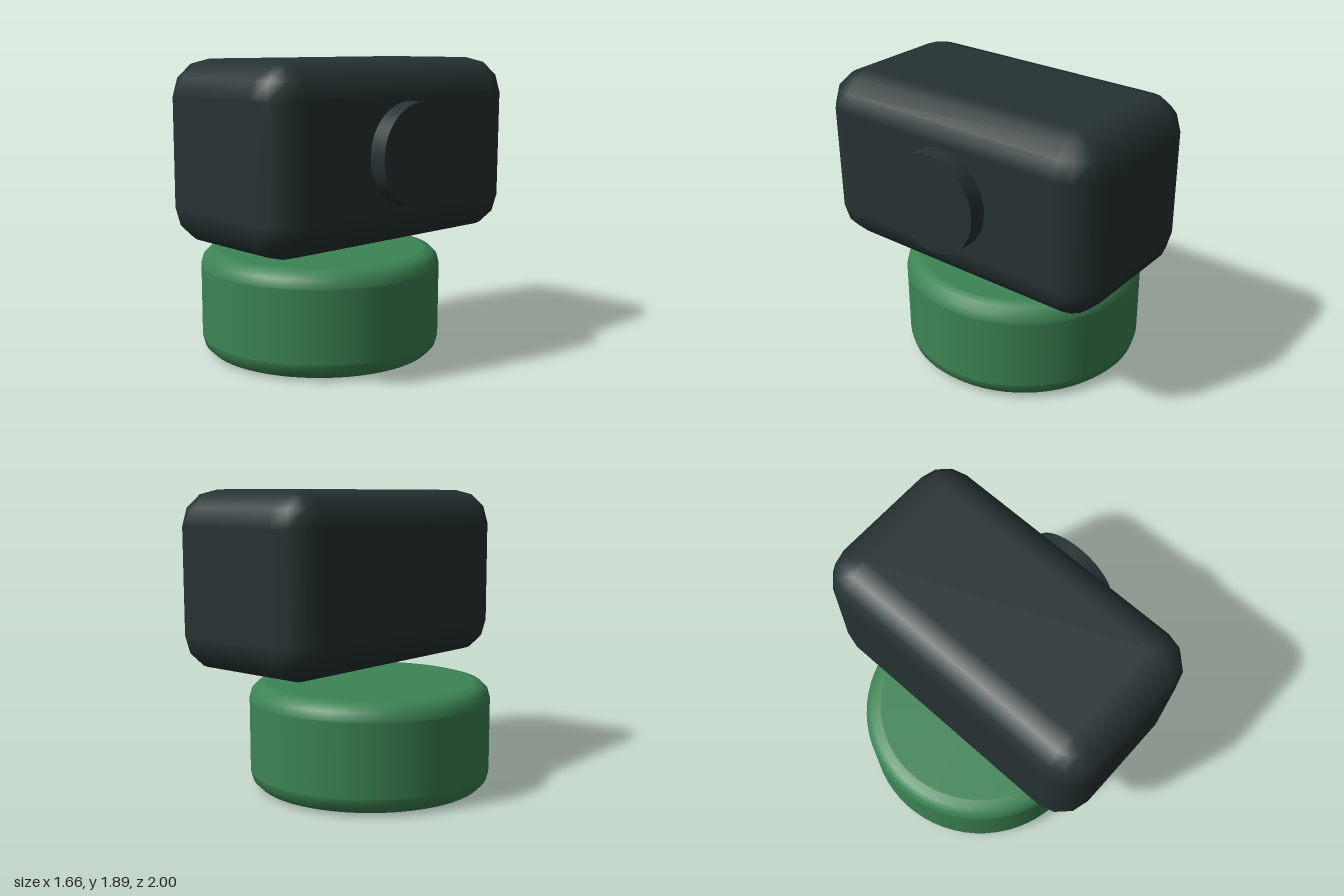
import * as THREE from 'three';

const dark = new THREE.MeshStandardMaterial({ color: 0x263232 });
dark.name = 'dark slate';
const green = new THREE.MeshStandardMaterial({ color: 0x3c8454 });
green.name = 'green';

// Box with rounded edges: stacked rounded-rectangle rings, n facets per quarter arc
function bevelledBox(w, h, d, r, n) {
  const pos = [], nor = [], idx = [];
  const ring = 4 * (n + 1), rows = 2 * (n + 1);
  for (let j = 0; j < rows; j++) {
    const sy = j <= n ? -1 : 1;
    const phi = (j <= n ? j - n : j - n - 1) / n * Math.PI / 2;
    for (let q = 0; q < 4; q++) {
      const sx = q === 0 || q === 3 ? 1 : -1, sz = q < 2 ? 1 : -1;
      for (let k = 0; k <= n; k++) {
        const t = (q + k / n) * Math.PI / 2;
        const v = [Math.cos(phi) * Math.cos(t), Math.sin(phi), Math.cos(phi) * Math.sin(t)];
        nor.push(...v);
        pos.push(sx * (w / 2 - r) + v[0] * r, sy * (h / 2 - r) + v[1] * r, sz * (d / 2 - r) + v[2] * r);
      }
    }
  }
  for (let j = 0; j < rows - 1; j++) {
    for (let i = 0; i < ring; i++) {
      const a = j * ring + i, b = j * ring + (i + 1) % ring;
      idx.push(a, a + ring, b, b, a + ring, b + ring);
    }
  }
  // bottom and top faces
  const s = n + 1, top = (rows - 1) * ring;
  idx.push(0, s, 2 * s, 0, 2 * s, 3 * s);
  idx.push(top, top + 2 * s, top + s, top, top + 3 * s, top + 2 * s);
  const g = new THREE.BufferGeometry();
  g.setAttribute('position', new THREE.Float32BufferAttribute(pos, 3));
  g.setAttribute('normal', new THREE.Float32BufferAttribute(nor, 3));
  g.setIndex(idx);
  return g;
}

// Solid disc with rounded rims; extra points keep the flats flat
function bevelledDisc(radius, height, r, n) {
  const pts = [new THREE.Vector2(0, 0), new THREE.Vector2(radius - r - 0.01, 0)];
  for (const end of [0, 1]) {
    if (end) pts.push(new THREE.Vector2(radius, height - r - 0.01));
    for (let k = 0; k <= n; k++) {
      const a = (end + k / n - 1) * Math.PI / 2;
      pts.push(new THREE.Vector2(radius - r + r * Math.cos(a), (end ? height - r : r) + r * Math.sin(a)));
    }
    if (!end) pts.push(new THREE.Vector2(radius, r + 0.01));
  }
  pts.push(new THREE.Vector2(radius - r - 0.01, height), new THREE.Vector2(0, height));
  return new THREE.LatheGeometry(pts, 64);
}

export function createModel() {
  const model = new THREE.Group();
  const add = (name, geometry, material, x, y, z) => {
    const mesh = new THREE.Mesh(geometry, material);
    mesh.name = name;
    mesh.position.set(x, y, z);
    model.add(mesh);
    return mesh;
  };

  // round base
  add('base', bevelledDisc(0.777, 0.67, 0.1, 3), green, -0.055, 0, 0);

  // floating block
  add('body', bevelledBox(1.11, 1.11, 2, 0.222, 3), dark, 0.165, 1.335, 0);

  // round button on the left side
  const button = add('button', new THREE.CylinderGeometry(0.31, 0.31, 0.22, 64), dark, 0.72, 1.337, 0);
  button.rotation.z = -Math.PI / 2;

  return model;
}
